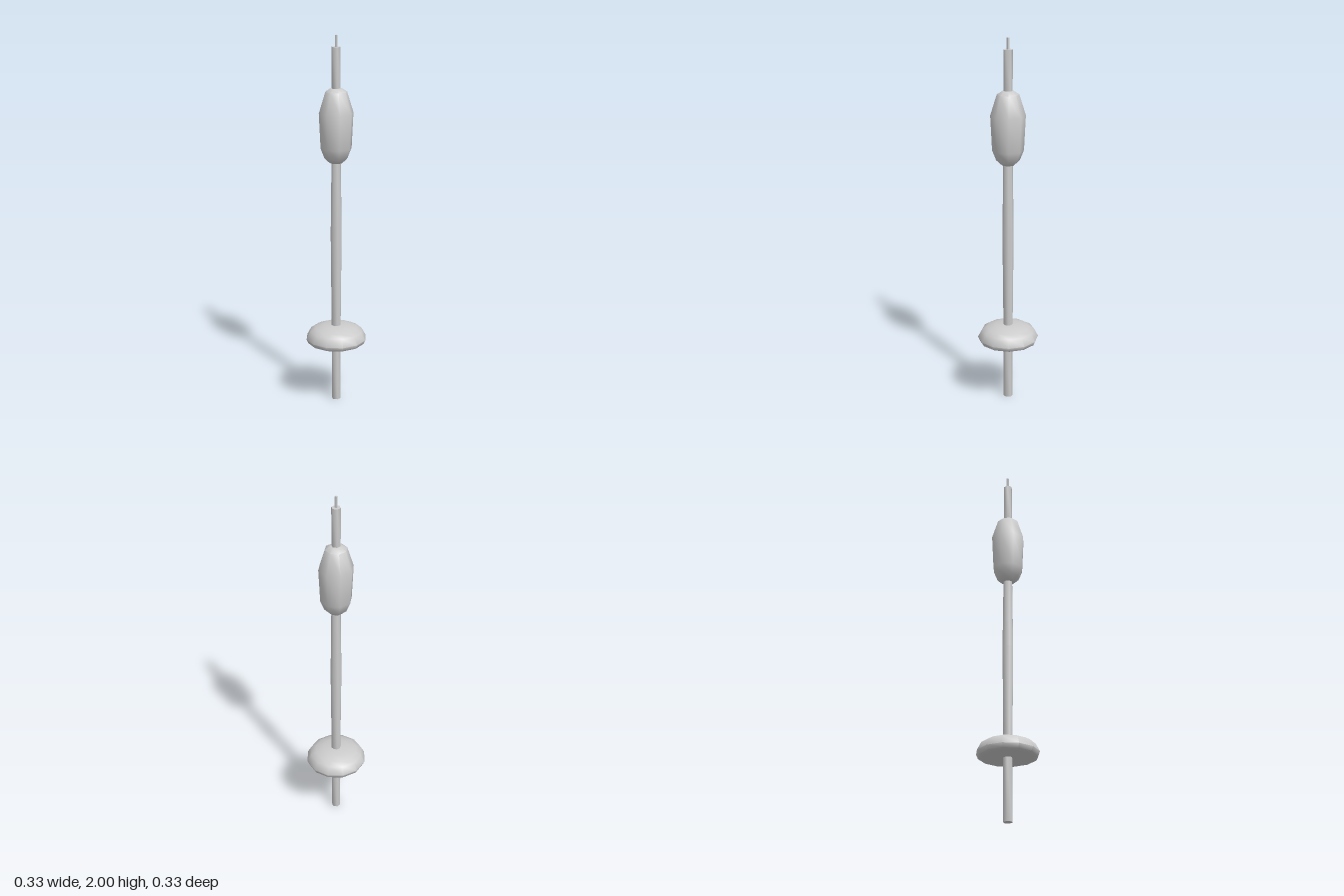
import * as THREE from 'three';
import { toCreasedNormals } from 'three/addons/utils/BufferGeometryUtils.js';

const material = new THREE.MeshStandardMaterial({ color: 0xcccccc });

// Turned part from [radius, height] pairs, listed bottom to top
function turned(name, profile, sides, crease = 0.9) {
  const points = profile.map(([r, y]) => new THREE.Vector2(r, y));
  const geometry = toCreasedNormals(new THREE.LatheGeometry(points, sides), crease);
  const mesh = new THREE.Mesh(geometry, material);
  mesh.name = name;
  return mesh;
}

export function createModel() {
  const tower = new THREE.Group();
  tower.name = 'tower';

  tower.add(
    // Plain shaft beneath the lower disc
    turned('lowerShaft', [[0, 0], [0.025, 0], [0.025, 0.34]], 6, 1.2),

    // Wide flat-bottomed disc with a domed top
    turned('lowerDisc', [
      [0, 0.335], [0.135, 0.332], [0.155, 0.338], [0.165, 0.36],
      [0.143, 0.402], [0.115, 0.418], [0.07, 0.432], [0, 0.434],
    ], 12),

    // Main shaft, slightly thicker at mid height
    turned('mainShaft', [[0.025, 0.42], [0.03, 0.95], [0.025, 1.35]], 8),

    // Elongated pod with tapered ends
    turned('upperPod', [
      [0, 1.335], [0.035, 1.337], [0.062, 1.362], [0.083, 1.415],
      [0.092, 1.6], [0.058, 1.71], [0.03, 1.728], [0, 1.73],
    ], 8),

    // Mast and thin tip
    turned('mast', [[0.024, 1.72], [0.024, 1.94], [0, 1.94]], 6, 1.2),
    turned('antenna', [[0.007, 1.93], [0.007, 2], [0, 2]], 4),
  );

  return tower;
}
